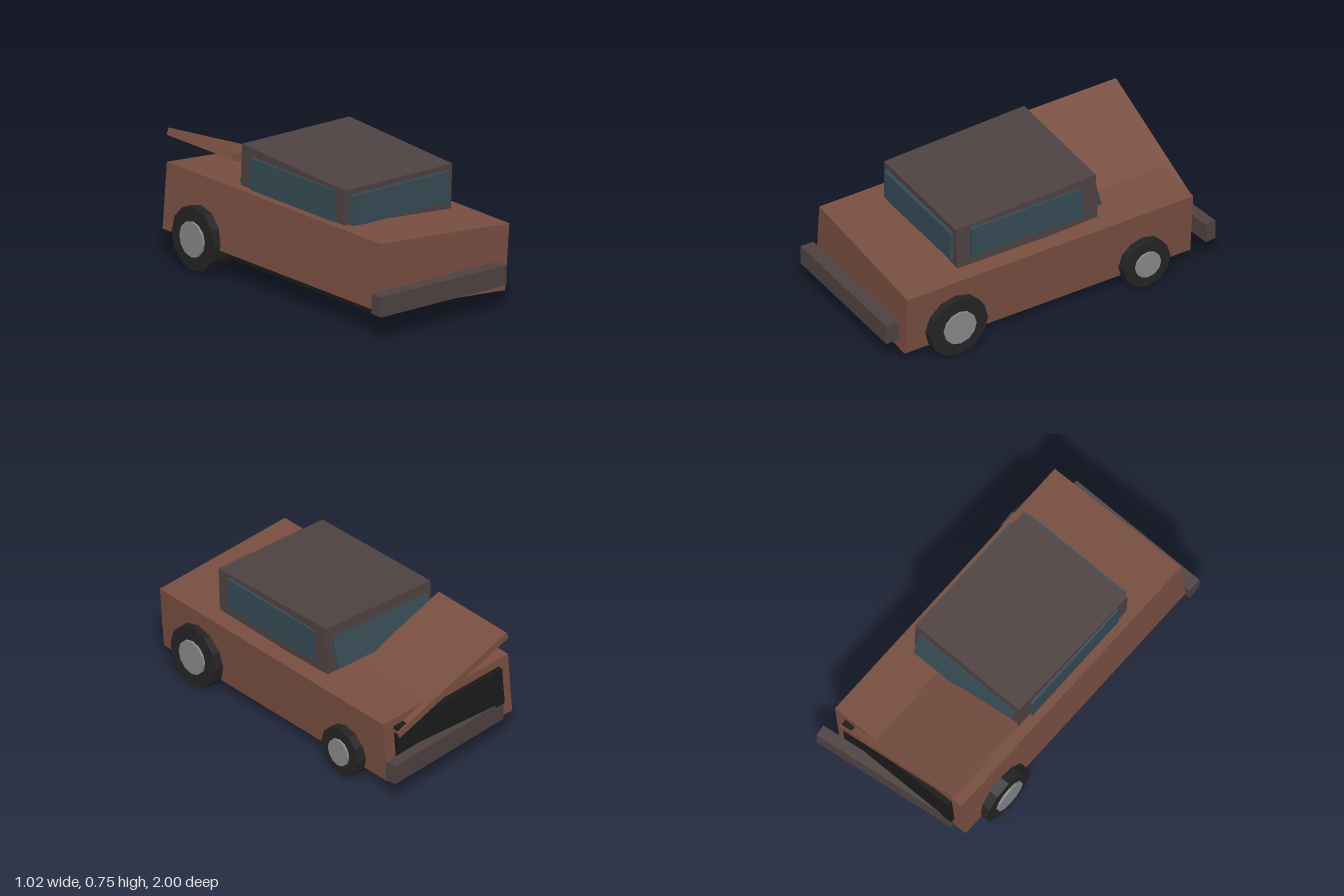
import * as THREE from 'three';

const mat = (name, color) => {
  const m = new THREE.MeshStandardMaterial({ color });
  m.name = name;
  m.flatShading = true;
  return m;
};

export function createModel() {
  const car = new THREE.Group();
  car.name = 'wreckedCar';
  const rust = mat('rustPaint', 0x784e40);
  const dull = mat('dullMetal', 0x4e4141);
  const glass = mat('glass', 0x364a54);
  const rubber = mat('tyreRubber', 0x232323);
  const hubMetal = mat('hubMetal', 0x848688);
  const black = mat('chassisBlack', 0x1a1a1a);

  const box = (name, material, size, pos, rot = [0, 0, 0], parent = car) => {
    const mesh = new THREE.Mesh(new THREE.BoxGeometry(...size), material);
    mesh.name = name;
    mesh.position.set(...pos);
    mesh.rotation.set(...rot);
    parent.add(mesh);
    return mesh;
  };

  // Tilted hull with the exposed engine bay panel
  const hull = new THREE.Group();
  hull.name = 'hull';
  hull.position.set(0, 0.301, 0);
  hull.rotation.z = -0.08;
  car.add(hull);
  box('body', rust, [0.893, 0.371, 1.795], [0, 0, 0.0225], [0, 0, 0], hull);
  box('engineBay', black, [0.75, 0.225, 0.06], [0, 0.027, -0.875], [0, 0, 0], hull);

  // Level chassis showing below the raised side
  box('chassis', black, [0.79, 0.1, 1.67], [0, 0.145, 0.055]);

  // Sprung hood, rolled to one side
  box('hood', rust, [0.833, 0.04, 0.545], [-0.005, 0.522, -0.643], [0, 0, -0.377]);

  // Slumped cabin and its windows
  box('cabin', dull, [0.735, 0.28, 0.876], [0, 0.592, 0.11], [0.042, -0.01, 0]);
  for (const s of [-1, 1]) {
    box('sideWindow', glass, [0.02, 0.185, 0.705], [s * 0.371, 0.605, 0.115]);
  }
  box('rearWindow', glass, [0.67, 0.173, 0.03], [0, 0.594, 0.559]);
  box('windshield', glass, [0.67, 0.18, 0.018], [0, 0.598, -0.347], [0.25, 0, 0]);

  // Bumpers: one shifted sideways, one hanging askew
  box('shiftedBumper', dull, [0.865, 0.113, 0.08], [-0.058, 0.198, 0.96]);
  box('bentBumper', dull, [0.865, 0.113, 0.065], [0.057, 0.2, -0.917], [0, 0.118, 0]);

  // Three remaining wheels: [x, y, z, radius, hub radius]
  for (const [x, y, z, r, hr] of [
    [0.42, 0.18, 0.615, 0.18, 0.1],
    [0.42, 0.145, -0.565, 0.145, 0.079],
    [-0.425, 0.18, -0.57, 0.18, 0.1],
  ]) {
    const wheel = new THREE.Group();
    wheel.name = 'wheel';
    wheel.position.set(x, y, z);
    wheel.rotation.z = Math.PI / 2;
    const tyre = new THREE.Mesh(new THREE.CylinderGeometry(r, r, 0.15, 12), rubber);
    tyre.name = 'tyre';
    const hub = new THREE.Mesh(new THREE.CylinderGeometry(hr, hr, 0.176, 12), hubMetal);
    hub.name = 'hub';
    wheel.add(tyre, hub);
    car.add(wheel);
  }
  return car;
}
